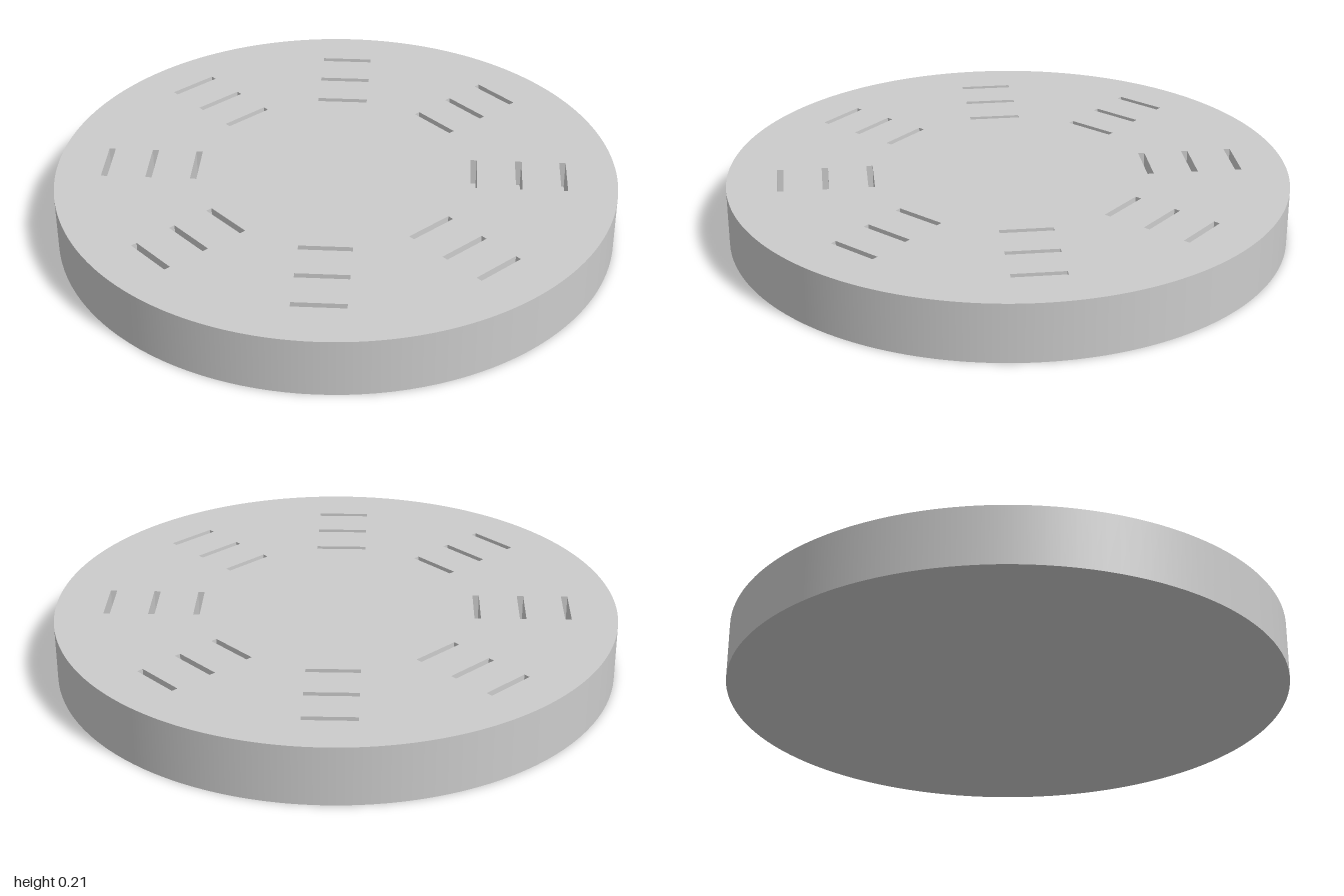
import * as THREE from 'three';

const R = 1, H = 0.21, SEGMENTS = 128;
const SLOT = { length: 0.185, width: 0.023, depth: 0.1 };
const RINGS = [0.497, 0.657, 0.816]; // distance of each slot ring from the pattern centre
const SPOKES = 8;
const PATTERN_X = -0.008; // the slot pattern sits slightly off centre

// Box without its top face, turned inside out so it reads as a recess
function recessGeometry() {
  const g = new THREE.BoxGeometry(SLOT.width, SLOT.depth, SLOT.length);
  const faces = Array.from(g.index.array);
  faces.splice(12, 6); // the +y face
  g.setIndex(faces.reverse());
  g.computeVertexNormals();
  return g;
}

export function createModel() {
  const model = new THREE.Group();
  model.name = 'slottedDisc';
  const material = new THREE.MeshStandardMaterial({ color: 0xcccccc });
  const add = (name, geometry) => {
    const mesh = new THREE.Mesh(geometry, material);
    mesh.name = name;
    model.add(mesh);
    return mesh;
  };

  // Rim and underside
  add('rim', new THREE.CylinderGeometry(R, R, H, SEGMENTS, 1, true)).position.y = H / 2;
  add('underside', new THREE.CircleGeometry(R, SEGMENTS).rotateX(Math.PI / 2));

  // Top face pierced by the slots, with a recess below each opening
  const top = new THREE.Shape();
  top.absarc(0, 0, R, 0, Math.PI * 2, false);
  const recess = recessGeometry();
  const w = SLOT.width / 2, l = SLOT.length / 2;
  for (let i = 0; i < SPOKES; i++) {
    const angle = (i / SPOKES) * Math.PI * 2;
    const c = Math.cos(angle), s = Math.sin(angle);
    for (const r of RINGS) {
      const corners = [[r - w, -l], [r - w, l], [r + w, l], [r + w, -l]];
      top.holes.push(new THREE.Path(corners.map(([u, v]) =>
        new THREE.Vector2(PATTERN_X + u * c - v * s, u * s + v * c))));
      const slot = add('slot', recess);
      slot.position.set(PATTERN_X + r * c, H - SLOT.depth / 2, -r * s);
      slot.rotation.y = angle;
    }
  }
  add('topFace', new THREE.ShapeGeometry(top, SEGMENTS).rotateX(-Math.PI / 2)).position.y = H;

  return model;
}
